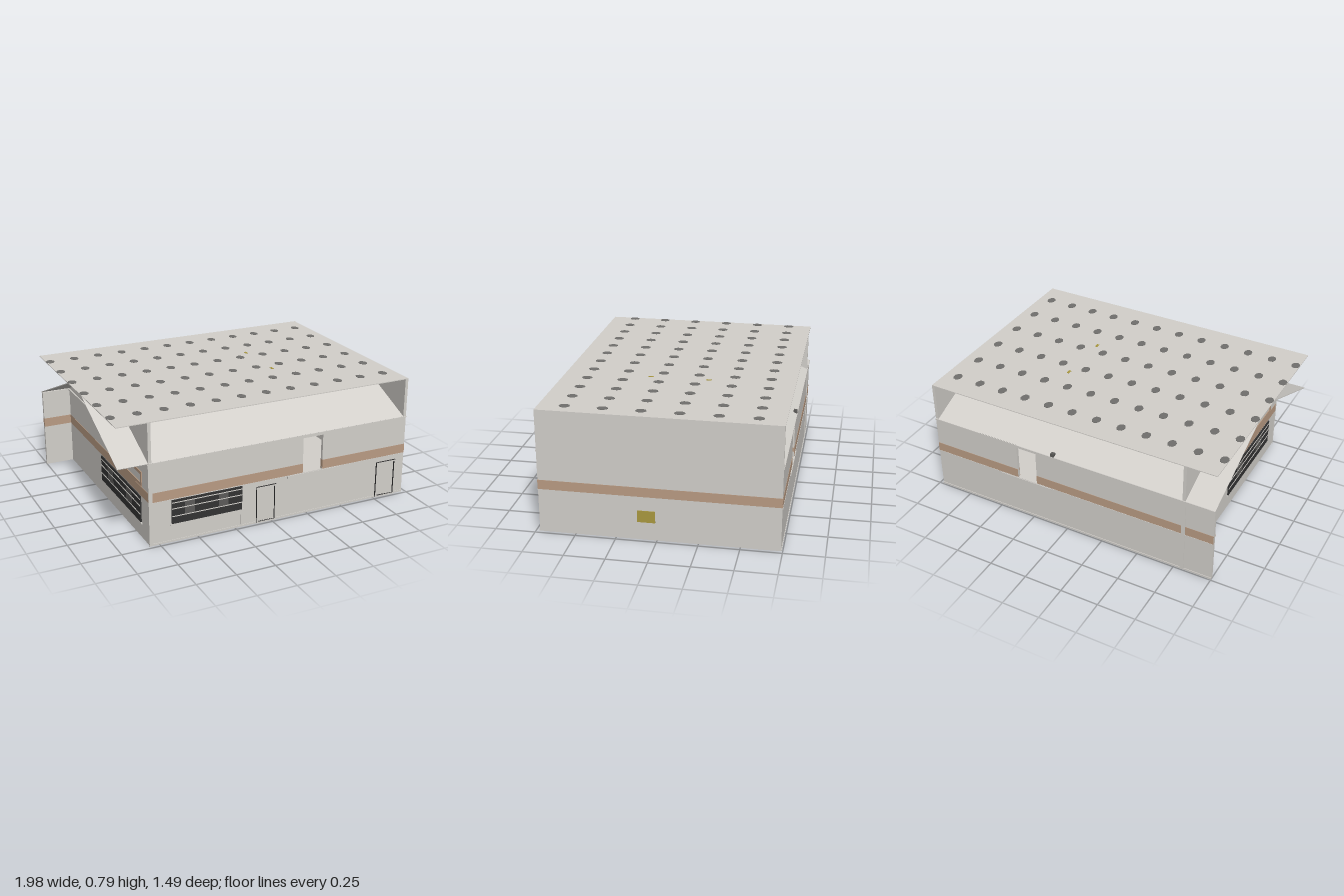
import * as THREE from 'three';

const paint = (name, color) => {
  const m = new THREE.MeshStandardMaterial({ color });
  m.name = name;
  return m;
};

export function createModel() {
  const wall = paint('pale grey', 0xd3d0cb);
  const tan = paint('tan stripe', 0xba9c84);
  const lamp = paint('lamp grey', 0x71706d);
  const dark = paint('charcoal', 0x333333);
  const mid = paint('mid grey', 0x5c5b59);
  const olive = paint('olive', 0xaa993f);
  const hall = new THREE.Group();
  hall.name = 'hall';

  // box given by its minimum and maximum corners
  const box = (name, mat, x0, x1, y0, y1, z0, z1, parent = hall) => {
    const m = new THREE.Mesh(new THREE.BoxGeometry(x1 - x0, y1 - y0, z1 - z0), mat);
    m.position.set((x0 + x1) / 2, (y0 + y1) / 2, (z0 + z1) / 2);
    m.name = name;
    parent.add(m);
    return m;
  };
  const rect = (P, x0, x1, y0, y1) => {
    const p = new P();
    p.moveTo(x0, y0);
    p.lineTo(x1, y0);
    p.lineTo(x1, y1);
    p.lineTo(x0, y1);
    p.closePath();
    return p;
  };
  const frame = (name, mats, outer, inner, depth, z) => {
    const s = rect(THREE.Shape, ...outer);
    s.holes.push(rect(THREE.Path, ...inner));
    const m = new THREE.Mesh(new THREE.ExtrudeGeometry(s, { depth, bevelEnabled: false }), mats);
    m.position.z = z;
    m.name = name;
    hall.add(m);
    return m;
  };

  const F = 0.725, B = -0.74, R = 0.975, L = -0.81;

  // floor, roof and end walls
  box('floor', wall, L, R, 0, 0.006, B, F);
  box('roof', wall, -1, R, 0.783, 0.788, B, F);
  box('rightEndWall', wall, R - 0.02, R, 0, 0.783, B, F);
  box('rightEndStripe', tan, R - 0.023, R + 0.002, 0.28, 0.34, B, F);
  box('leftEndWall', wall, L, L + 0.02, 0, 0.783, B, F);
  box('leftEndStripe', tan, L - 0.002, L + 0.022, 0.28, 0.34, B, F);
  box('hatch', olive, R, R + 0.004, 0.115, 0.19, 0.01, 0.12);

  // long walls with a window opening, stripe, sill and trims
  for (const [side, x0, z0, out] of [['front', L, F - 0.02, 1], ['back', -1, B, -1]]) {
    frame(side + 'Wall', wall, [x0, R, 0, 0.53], [0.22, 0.36, 0.275, 0.51], 0.02, z0);
    for (const [a, b] of [[x0, 0.22], [0.36, R]]) {
      box(side + 'Stripe', tan, a, b, 0.28, 0.34, z0 - 0.002, z0 + 0.022);
    }
    const face = out > 0 ? F : B;
    const trim = (name, a, b, c, d, t) =>
      box(side + name, wall, a, b, c, d, Math.min(face, face + out * t), Math.max(face, face + out * t));
    trim('Sill', 0.11, 0.48, 0.262, 0.277, 0.008);
    trim('TopTrim', x0, R, 0.522, 0.532, 0.005);
    trim('MiddleTrim', x0, R, 0.272, 0.28, 0.004);
    trim('BaseTrim', x0, R, 0, 0.012, 0.004);
    trim('CornerPost', -0.815, -0.79, 0, 0.53, 0.005);
  }
  box('wallSeam', wall, -0.21, -0.2, 0, 0.275, F, F + 0.004);

  // inner sloping roof, mirrored front and back
  for (const s of [1, -1]) {
    const zLow = s > 0 ? F : B, zHigh = s * 0.13;
    const run = zLow - zHigh, rise = 0.253;
    const g = new THREE.BoxGeometry(R + 1, 0.005, Math.hypot(run, rise));
    const slope = new THREE.Mesh(g, wall);
    slope.position.set((R - 1) / 2, 0.53 + rise / 2, (zLow + zHigh) / 2);
    slope.rotation.x = Math.atan2(rise, run * s) * s;
    slope.name = s > 0 ? 'frontSlope' : 'backSlope';
    hall.add(slope);
  }
  for (const x of [-0.44, -0.07, 0.645]) {
    box('slopeLamp', dark, x - 0.012, x + 0.012, 0.695, 0.715, 0.32, 0.36);
  }
  box('backLamp', mid, 0.085, 0.11, 0.53, 0.555, B - 0.002, B + 0.02);

  // ceiling lamps, showing on both faces of the roof
  const disc = new THREE.CylinderGeometry(0.027, 0.027, 0.009, 10);
  disc.scale(1, 1, 1.25);
  for (let i = 0; i < 12; i++) {
    for (let j = 0; j < 6; j++) {
      const m = new THREE.Mesh(disc, lamp);
      m.position.set(Math.max(-0.973, -0.977 + i * 0.1693), 0.7855, -0.582 + j * 0.2295);
      m.name = 'ceilingLamp';
      hall.add(m);
    }
  }
  for (const z of [-0.197, 0.173]) {
    box('roofMarker', olive, 0.28, 0.296, 0.78, 0.79, z - 0.016, z + 0.016);
  }

  // dark display panel with shelves, facing +z, origin at bottom left
  const panel = (name, w, h) => {
    const g = new THREE.Group();
    g.name = name;
    box('panelBack', dark, 0, w, 0, h, 0, 0.008, g);
    for (const u of [0.18, 0.66]) {
      box('panelPane', mid, w * u, w * (u + 0.14), h * 0.32, h * 0.9, 0.008, 0.009, g);
    }
    for (const v of [0.3, 0.62, 0.87]) {
      box('panelBar', wall, 0, w, h * v, h * v + 0.005, 0.008, 0.011, g);
    }
    box('panelLedge', wall, -0.012, w + 0.01, -0.012, 0, 0, 0.008, g);
    hall.add(g);
    return g;
  };
  panel('frontPanel', 0.465, 0.155).position.set(-0.67, 0.12, F + 0.001);
  const sidePanel = panel('leftPanel', 0.68, 0.17);
  sidePanel.rotation.y = -Math.PI / 2;
  sidePanel.position.set(L - 0.001, 0.105, -0.08);

  // framed board and ledge on the left end
  const board = frame('leftBoardFrame', tan, [0, 0.52, 0.345, 0.44], [0.02, 0.5, 0.365, 0.42], 0.005, 0);
  board.rotation.y = -Math.PI / 2;
  board.position.set(L, 0, 0.1);
  box('leftLedge', wall, L - 0.008, L, 0.522, 0.532, B, F);

  // doors: raised frames with dark edges
  for (const [a, b] of [[-0.105, 0.03], [0.765, 0.91]]) {
    frame('doorFrame', [wall, dark], [a, b, 0.002, 0.245], [a + 0.01, b - 0.01, 0.012, 0.235], 0.012, F);
  }
  return hall;
}
